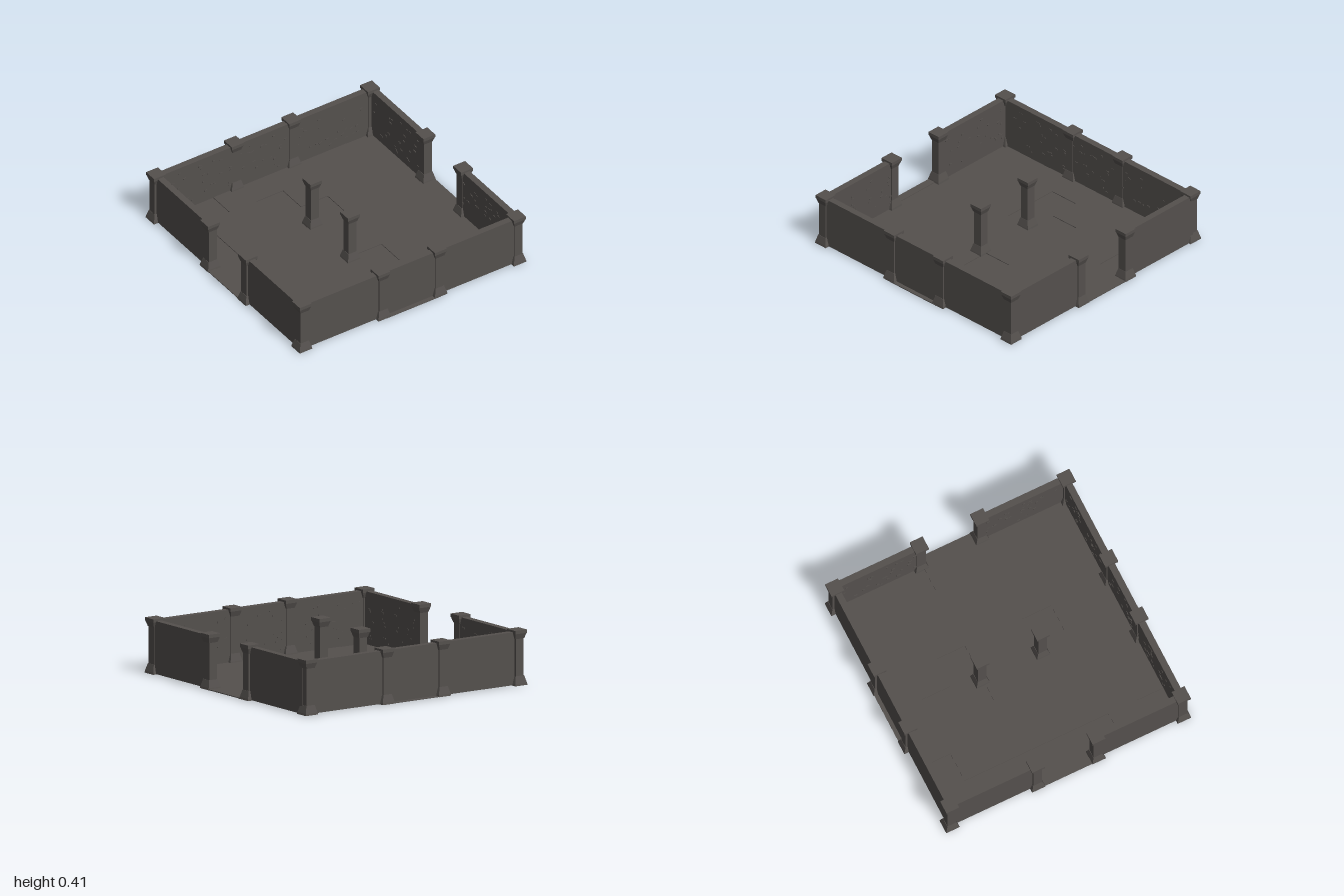
import * as THREE from 'three';
import { mergeGeometries } from 'three/addons/utils/BufferGeometryUtils.js';

const stone = new THREE.MeshStandardMaterial({ color: 0x54504d });
stone.name = 'dark stone';

// Box given by its minimum and maximum corners
function boxBetween(x0, y0, z0, x1, y1, z1) {
  return new THREE.BoxGeometry(x1 - x0, y1 - y0, z1 - z0)
    .translate((x0 + x1) / 2, (y0 + y1) / 2, (z0 + z1) / 2);
}

function addMesh(parent, name, geometry) {
  const mesh = new THREE.Mesh(geometry, stone);
  mesh.name = name;
  parent.add(mesh);
  return mesh;
}

// Square frustum with flat sides
function frustum(topWidth, bottomWidth, y0, y1) {
  const g = new THREE.BoxGeometry(1, y1 - y0, 1);
  const p = g.attributes.position;
  for (let i = 0; i < p.count; i++) {
    const w = p.getY(i) > 0 ? topWidth : bottomWidth;
    p.setXYZ(i, p.getX(i) * w, p.getY(i), p.getZ(i) * w);
  }
  g.translate(0, (y0 + y1) / 2, 0);
  g.computeVertexNormals();
  return g;
}

// Pillar with a flared base and capital
function pillarGeometry() {
  return mergeGeometries([
    frustum(0.105, 0.11, 0.005, 0.02),
    frustum(0.075, 0.105, 0.02, 0.075),
    frustum(0.07, 0.07, 0.07, 0.355),
    frustum(0.1, 0.075, 0.35, 0.39),
    frustum(0.104, 0.104, 0.39, 0.415),
  ]);
}

// Floor of square tiles, some slightly sunken
function floorGeometry() {
  const sunken = new Set(['0,0', '0,1', '0,2', '0,3', '0,4', '0,5', '1,0', '0,7',
    '7,0', '7,1', '7,2', '3,1', '3,2', '4,2', '4,5']);
  const size = 0.2333, parts = [];
  for (let i = 0; i < 8; i++) {
    for (let j = 0; j < 8; j++) {
      const x = (i - 4) * size, z = (j - 4) * size;
      const y = sunken.has(`${i},${j}`) ? 0 : 0.005;
      parts.push(boxBetween(x, y, z, x + size, y + 0.006, z + size));
    }
  }
  // Thresholds reaching out on all four sides
  for (const s of [-1, 1]) {
    const a = Math.min(s * 0.933, s * 0.995), b = Math.max(s * 0.933, s * 0.995);
    parts.push(boxBetween(a, 0.005, -0.235, b, 0.011, 0.235));
    parts.push(boxBetween(-0.235, 0.005, a, 0.235, 0.011, b));
  }
  return mergeGeometries(parts);
}

// Small repeatable number source for the rough stonework
let seed = 7;
function rand() {
  seed = (seed * 16807) % 2147483647;
  return seed / 2147483647;
}

// Wall along x with its outer face towards +z and chips on the inner face
function wall(name, length) {
  const group = new THREE.Group();
  group.name = name;
  addMesh(group, 'wallSlab', boxBetween(-length / 2, 0.008, -0.025, length / 2, 0.4, 0.025));
  const chips = [];
  for (let i = 0; i < length * 36; i++) {
    const w = 0.012 + rand() * 0.018, h = 0.006 + rand() * 0.008;
    chips.push(new THREE.BoxGeometry(w, h, 0.006)
      .rotateZ((rand() - 0.5) * 0.8)
      .translate((rand() - 0.5) * (length - 0.1), 0.05 + rand() * 0.3, -0.026));
  }
  addMesh(group, 'stoneChips', mergeGeometries(chips));
  return group;
}

export function createModel() {
  const model = new THREE.Group();
  model.name = 'walledCourtyard';

  addMesh(model, 'floor', floorGeometry());

  // Unbroken walls at front and back
  const front = wall('frontWall', 1.86);
  front.position.z = 0.937;
  const back = wall('backWall', 1.86);
  back.position.z = -0.94;
  back.rotation.y = Math.PI;
  model.add(front, back);

  // Side walls, each in two halves beside a doorway
  for (const sx of [-1, 1]) {
    for (const sz of [-1, 1]) {
      const side = wall((sx > 0 ? 'left' : 'right') + (sz > 0 ? 'Front' : 'Back') + 'Wall', 0.7);
      side.position.set(sx * 0.942, 0, sz * 0.58);
      side.rotation.y = sx * Math.PI / 2;
      model.add(side);
    }
  }

  // Pillars at corners, along the walls, at the doorways and in the middle
  const pillar = pillarGeometry();
  const places = [
    [-0.948, -0.945], [-0.265, -0.945], [0.237, -0.945], [0.927, -0.945],
    [-0.94, 0.938], [-0.25, 0.938], [0.245, 0.938], [0.937, 0.938],
    [-0.945, -0.247], [-0.945, 0.243], [0.944, -0.25], [0.944, 0.24],
    [-0.047, -0.25], [-0.047, 0.24],
  ];
  places.forEach(([x, z], i) => {
    const name = i < 4 ? 'backPillar' : i < 8 ? 'frontPillar' : i < 12 ? 'doorwayPillar' : 'middlePillar';
    addMesh(model, name, pillar).position.set(x, 0, z);
  });

  return model;
}
